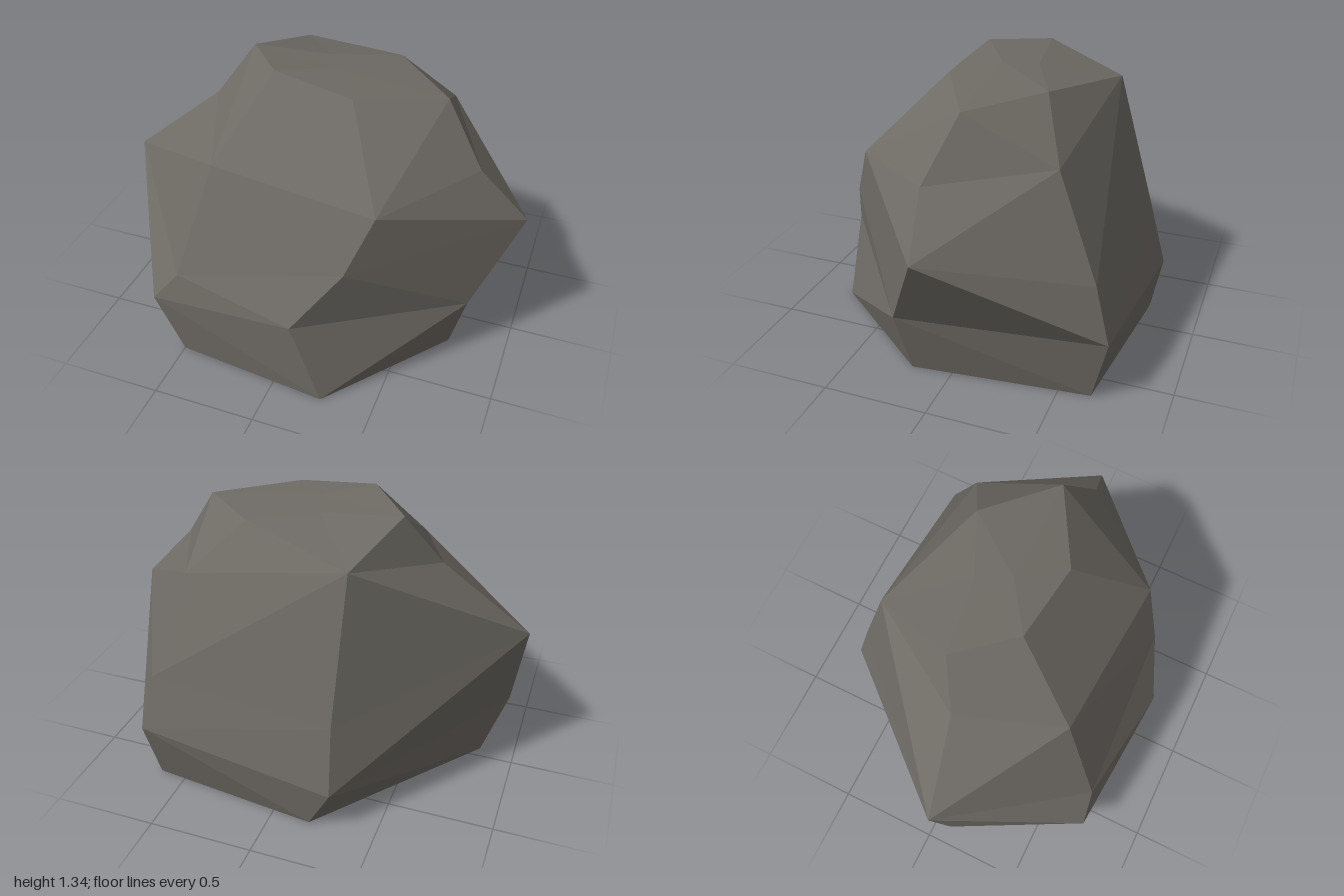
import * as THREE from 'three';

// Six ridges running from the ground to the crown, counterclockwise from above.
const ridges = [
  [[-0.83, 0, 0.06], [-0.94, 0.31, 0.12], [-1.0, 0.73, 0.065], [-0.58, 1.07, -0.01], [-0.41, 1.315, -0.105]],
  [[-0.5, 0, 0.70], [-0.63, 0.31, 0.715], [-0.5, 0.47, 0.69], [-0.385, 0.985, 0.48], [-0.2, 1.34, 0.155]],
  [[0.25, 0, 0.78], [0.1, 0.4, 0.775], [0.31, 0.67, 0.65], [0.415, 0.93, 0.54], [0.19, 1.29, 0.2]],
  [[0.72, 0, 0.195], [0.8, 0.315, 0.24], [1.0, 0.73, 0.045], [0.77, 0.98, 0.09], [0.575, 1.255, -0.015]],
  [[0.635, 0, -0.65], [0.67, 0.31, -0.725], [0.63, 0.57, -0.65], [0.52, 1.035, -0.44], [0.27, 1.28, -0.305]],
  [[-0.185, 0, -0.745], [-0.295, 0.215, -0.78], [-0.275, 0.53, -0.70], [-0.28, 1.205, -0.505], [-0.04, 1.3, -0.16]],
].map((ridge) => ridge.map((p) => new THREE.Vector3(...p)));

const crown = new THREE.Vector3(0.03, 1.315, 0);
const ground = new THREE.Vector3(0, 0, 0);

// Split a quad along the diagonal that bulges outward.
function quad(a, b, c, d) {
  const normal = b.clone().sub(a).cross(c.clone().sub(a));
  return d.clone().sub(a).dot(normal) <= 0 ? [a, b, c, a, c, d] : [a, b, d, b, c, d];
}

function rockMesh(name, points, material) {
  const geometry = new THREE.BufferGeometry().setFromPoints(points);
  geometry.computeVertexNormals();
  const mesh = new THREE.Mesh(geometry, material);
  mesh.name = name;
  return mesh;
}

export function createModel() {
  const stone = new THREE.MeshStandardMaterial({ color: 0x6e6a64 });
  stone.name = 'stone';
  stone.flatShading = true;

  const sides = [];
  const top = [];
  const base = [];
  ridges.forEach((left, i) => {
    const right = ridges[(i + 1) % ridges.length];
    for (let j = 0; j < left.length - 1; j++) {
      sides.push(...quad(left[j], right[j], right[j + 1], left[j + 1]));
    }
    top.push(left[4], right[4], crown);
    base.push(right[0], left[0], ground);
  });

  const rock = new THREE.Group();
  rock.name = 'rock';
  rock.add(
    rockMesh('rockSides', sides, stone),
    rockMesh('rockCrown', top, stone),
    rockMesh('rockBase', base, stone),
  );
  return rock;
}
